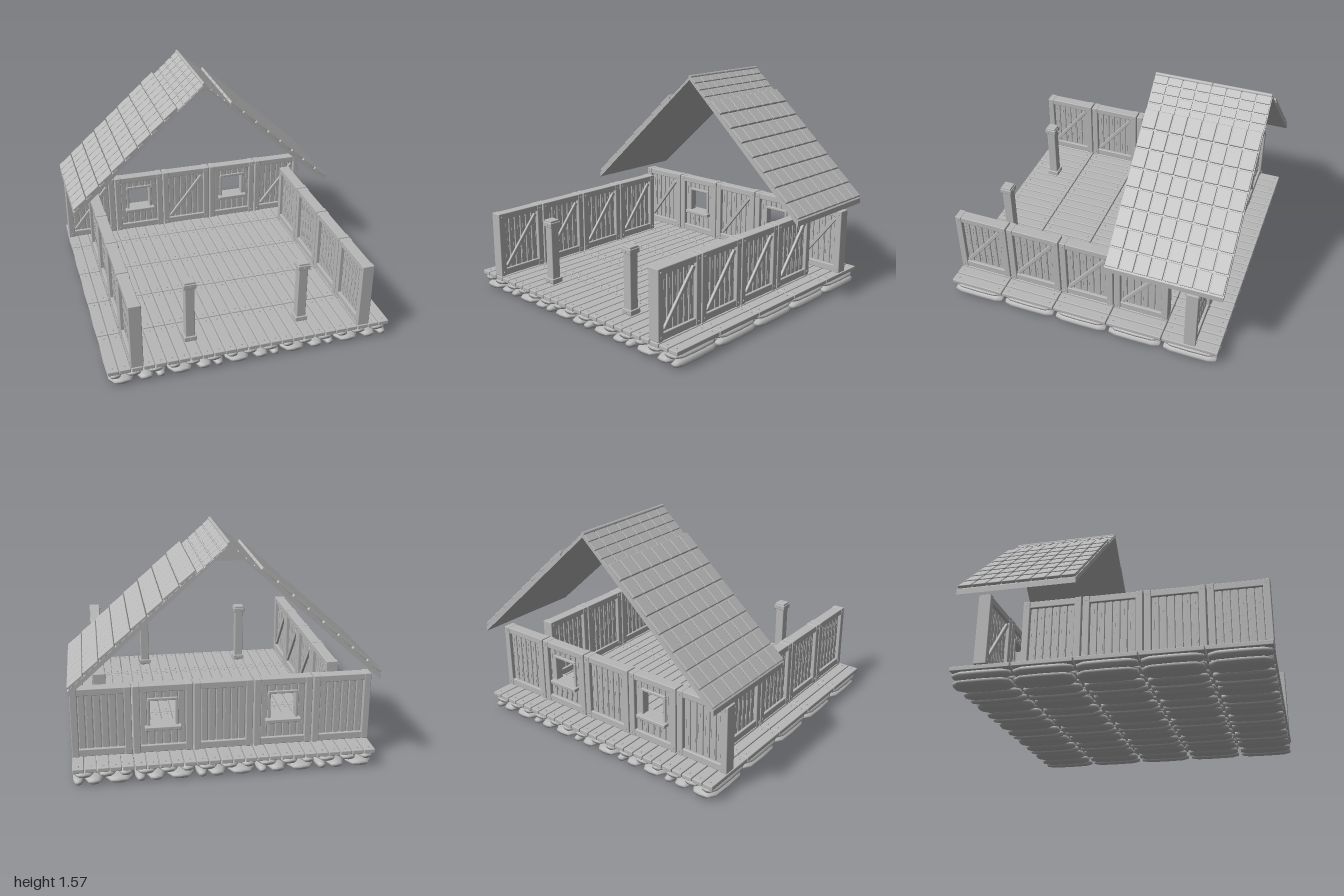
import * as THREE from 'three';
import { mergeGeometries } from 'three/addons/utils/BufferGeometryUtils.js';
import { RoundedBoxGeometry } from 'three/addons/geometries/RoundedBoxGeometry.js';

const TILE = 0.4;
const gray = new THREE.MeshStandardMaterial({ color: 0xb8b8b8 });
gray.name = 'plain gray';

// Softly bevelled bar centred at (x, y, z), turned about its own z axis
function bar(w, h, d, x, y, z, turn = 0) {
  const r = Math.min(0.005, Math.min(w, h, d) * 0.25);
  return new RoundedBoxGeometry(w, h, d, 1, r).rotateZ(turn).translate(x, y, z);
}

function box(w, h, d, x, y, z) {
  return new THREE.BoxGeometry(w, h, d).translate(x, y, z);
}

// Nail head, lying flat on y or pointing along z
function nail(x, y, z, alongZ = false) {
  const g = new THREE.CylinderGeometry(0.006, 0.008, 0.008, 6);
  if (alongZ) g.rotateX(Math.PI / 2);
  return g.translate(x, y, z);
}

function part(name, geometries) {
  const flat = geometries.map((g) => (g.index ? g.toNonIndexed() : g));
  const mesh = new THREE.Mesh(mergeGeometries(flat), gray);
  mesh.name = name;
  return mesh;
}

// Long stone with tapered ends, lying along z
function stone(w, h, x, y, z) {
  const profile = [[0, -0.19], [0.6, -0.185], [0.95, -0.135], [1, 0], [0.95, 0.135], [0.6, 0.185], [0, 0.19]];
  const g = new THREE.LatheGeometry(profile.map(([r, l]) => new THREE.Vector2(r, l)), 10);
  return g.rotateX(Math.PI / 2).scale(w / 2, h / 2, 1).translate(x, y, z);
}

function foundationAndFloor() {
  const stones = [], planks = [], nails = [];
  const lower = [[-0.1, 0.19], [0.06, 0.13], [0.16, 0.08]];
  const upper = [[-0.145, 0.11], [-0.02, 0.14], [0.125, 0.15]];
  for (let i = -2; i <= 2; i++) {
    for (let k = -2; k <= 2; k++) {
      const x = i * TILE, z = k * TILE;
      for (const [dx, w] of lower) stones.push(stone(w, 0.058, x + dx, 0.029, z));
      for (const [dx, w] of upper) stones.push(stone(w, 0.054, x + dx, 0.078, z));
      for (let p = -2; p <= 2; p++) {
        const px = x + p * 0.08;
        planks.push(bar(0.074, 0.03, 0.394, px, 0.115, z));
        for (const s of [-1, 1]) nails.push(nail(px, 0.132, z + s * 0.16));
      }
    }
  }
  const group = new THREE.Group();
  group.name = 'base';
  group.add(part('foundationStones', stones), part('floorPlanks', planks), part('floorNails', nails));
  return group;
}

// One framed wall panel facing +z, with a brace or a window opening
function wallPanel(hasWindow) {
  const frame = [], boards = [], nails = [];
  for (const s of [-1, 1]) {
    frame.push(bar(0.046, 0.476, 0.084, s * 0.173, 0.373, 0));
    for (const y of [0.163, 0.584]) {
      for (const f of [-1, 1]) nails.push(nail(s * 0.173, y, f * 0.043, true));
    }
  }
  frame.push(bar(0.31, 0.046, 0.076, 0, 0.586, 0), bar(0.31, 0.05, 0.076, 0, 0.162, 0));

  // Upright boards with raised grain on both faces
  const addBoard = (x, y0, y1) => {
    const w = 0.044, h = y1 - y0;
    boards.push(bar(w, h, 0.04, x, (y0 + y1) / 2, 0), box(0.05, h, 0.022, x, (y0 + y1) / 2, 0));
    for (let n = 0; n < 3; n++) {
      const y = y0 + h * (0.2 + 0.3 * n);
      boards.push(box(0.004, h * 0.17, 0.046, x + (((n * 2) % 3) - 1) * 0.011, y, 0));
    }
  };
  for (let b = 0; b < 6; b++) {
    const x = (b - 2.5) * 0.05;
    if (hasWindow && Math.abs(x) < 0.1) {
      addBoard(x, 0.18, 0.315);
      addBoard(x, 0.5, 0.57);
    } else addBoard(x, 0.18, 0.57);
  }

  const group = new THREE.Group();
  group.name = hasWindow ? 'windowWall' : 'bracedWall';
  group.add(part('wallFrame', frame), part('wallBoards', boards), part('wallNails', nails));
  if (hasWindow) {
    const trim = [bar(0.24, 0.026, 0.125, 0, 0.312, 0), bar(0.2, 0.02, 0.06, 0, 0.506, 0)];
    for (const s of [-1, 1]) trim.push(bar(0.02, 0.19, 0.06, s * 0.094, 0.41, 0));
    group.add(part('windowTrim', trim));
  } else {
    group.add(part('diagonalBrace', [bar(0.435, 0.028, 0.02, 0, 0.373, 0.029, Math.atan2(0.33, 0.26))]));
  }
  return group;
}

function post() {
  const geos = [bar(0.066, 0.476, 0.066, 0, 0.37, 0)];
  for (const y of [0.158, 0.578]) {
    geos.push(bar(0.088, 0.036, 0.088, 0, y, 0));
    for (const f of [-1, 1]) geos.push(nail(0, y, f * 0.045, true));
  }
  geos.push(bar(0.076, 0.02, 0.076, 0, 0.6, 0));
  return part('porchPost', geos);
}

// Roof: sloping slabs, tile rows, ridge cap and a gable plate
function roof() {
  const group = new THREE.Group();
  group.name = 'roof';
  const slabs = [], tiles = [];
  const slope = 0.906, angle = Math.atan(slope);
  const extrude = (points, depth, z) => {
    const shape = new THREE.Shape(points.map(([x, y]) => new THREE.Vector2(x, y)));
    return new THREE.ExtrudeGeometry(shape, { depth, bevelEnabled: false }).translate(0, 0, z);
  };
  const addRows = (count, step, eaveX, eaveY, thick) => {
    for (let r = 0; r < count; r++) {
      const x = eaveX - (r + 0.5) * step;
      const y = eaveY + (r + 0.5) * step * slope;
      for (let c = 0; c < 8; c++) {
        for (const s of [-1, 1]) {
          const len = step / Math.cos(angle) - 0.009;
          tiles.push(bar(len, thick, 0.092, s * x, y, -0.95 + c * 0.1, -s * (angle - 0.04)));
        }
      }
    }
  };
  for (const s of [-1, 1]) {
    slabs.push(extrude([[s, 0.63], [s, 0.668], [s * 0.2, 1.393], [s * 0.2, 1.355]], 0.8, -1));
    slabs.push(extrude([[s * 0.2, 1.355], [s * 0.2, 1.372], [0, 1.553], [0, 1.535]], 0.8, -1));
  }
  addRows(8, 0.1, 1, 0.679, 0.022);
  addRows(4, 0.05, 0.2, 1.375, 0.013);
  const ridge = [-0.8, -0.4].map((z) => new THREE.CylinderGeometry(0.013, 0.013, 0.394, 8)
    .rotateX(Math.PI / 2).translate(0, 1.557, z));
  group.add(
    part('roofSlabs', slabs),
    part('roofTiles', tiles),
    part('ridgeCap', ridge),
    part('gablePlate', [extrude([[-0.2, 1.355], [0.2, 1.355], [0, 1.54]], 0.01, -0.605)])
  );
  return group;
}

export function createModel() {
  const model = new THREE.Group();
  model.name = 'cottage';
  model.add(foundationAndFloor());

  // Back wall, with a window either side of the middle
  for (let i = -2; i <= 2; i++) {
    const panel = wallPanel(Math.abs(i) === 1);
    panel.position.set(i * TILE, 0, -0.8);
    model.add(panel);
  }
  // Side walls, both with their braced face towards +x
  for (const s of [-1, 1]) {
    for (let k = -1; k <= 2; k++) {
      const panel = wallPanel(false);
      panel.position.set(s * 0.8, 0, k * TILE);
      panel.rotation.y = Math.PI / 2;
      model.add(panel);
    }
    const p = post();
    p.position.set(s * 0.4, 0, 0.8);
    model.add(p);
  }
  model.add(roof());

  // Open thin pieces and mirrored slabs show from both sides
  gray.side = THREE.DoubleSide;
  return model;
}
